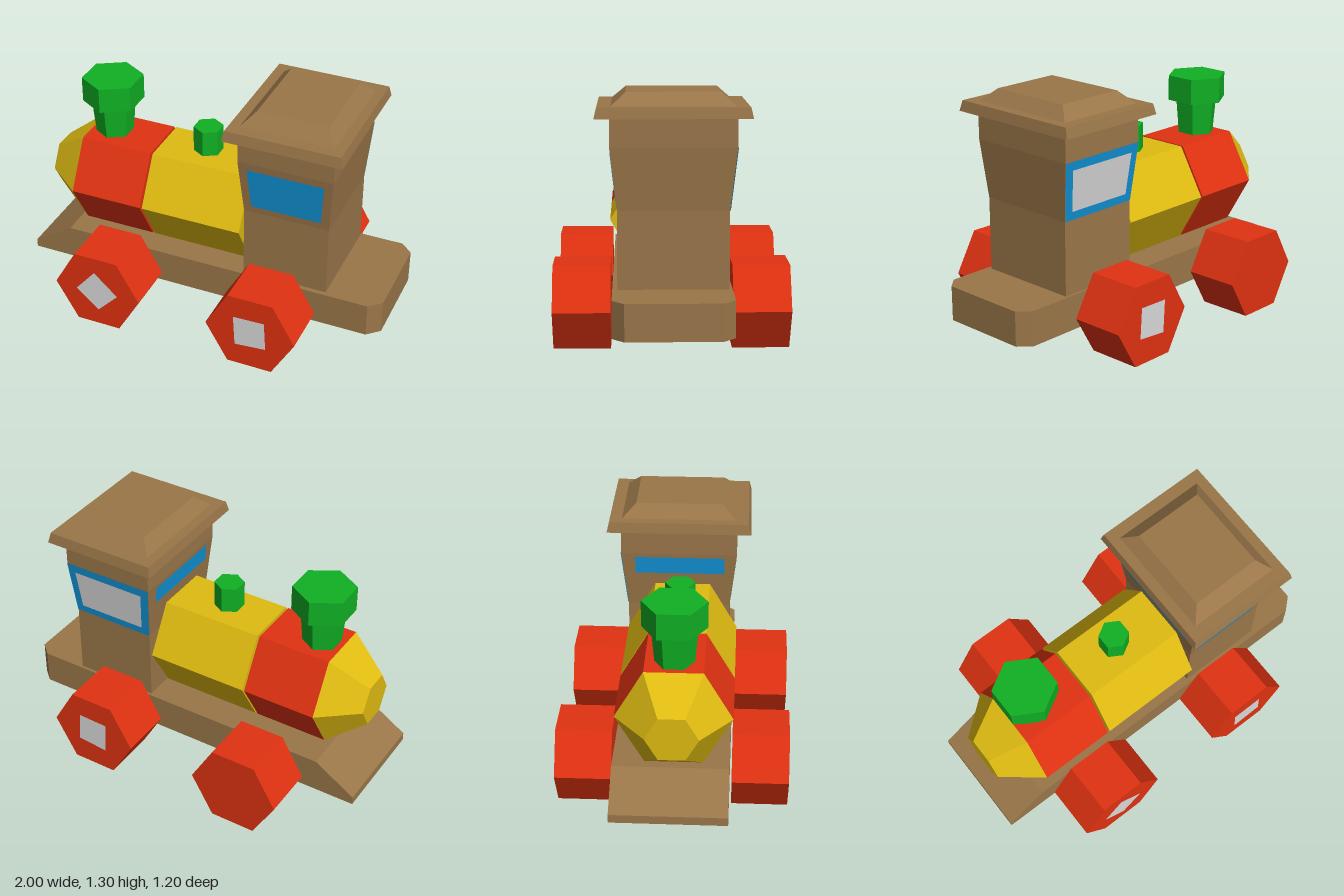
import * as THREE from 'three';

const paint = (name, color, twoSided) => {
  const m = new THREE.MeshStandardMaterial({ color, flatShading: true });
  m.name = name;
  if (twoSided) m.side = THREE.DoubleSide;
  return m;
};

// Joins four-cornered rings into a closed solid
function loft(rings) {
  const pos = [];
  const quad = (a, b, c, d) => pos.push(...a, ...b, ...c, ...a, ...c, ...d);
  for (let r = 0; r < rings.length - 1; r++) {
    for (let i = 0; i < 4; i++) {
      const j = (i + 1) % 4;
      quad(rings[r][i], rings[r][j], rings[r + 1][j], rings[r + 1][i]);
    }
  }
  quad(...[...rings[0]].reverse());
  quad(...rings[rings.length - 1]);
  return fromPositions(pos);
}

function fromPositions(pos) {
  const g = new THREE.BufferGeometry();
  g.setAttribute('position', new THREE.Float32BufferAttribute(pos, 3));
  g.computeVertexNormals();
  return g;
}

// Level ring at height y, and upright ring at position x
const ringY = (y, x0, x1, z0, z1) => [[x0, y, z0], [x0, y, z1], [x1, y, z1], [x1, y, z0]];
const ringX = (x, y0, y1, z) => [[x, y0, -z], [x, y1, -z], [x, y1, z], [x, y0, z]];

const face = (a, b, c, d) => fromPositions([...a, ...b, ...c, ...a, ...c, ...d]);

export function createModel() {
  const model = new THREE.Group();
  model.name = 'toyTrain';

  const brown = paint('brown wood', 0x9a7649);
  const red = paint('red', 0xe03211);
  const yellow = paint('yellow', 0xdfbb11);
  const green = paint('green', 0x11b024);
  const blue = paint('blue', 0x1193d6, true);
  const grey = paint('light grey', 0xd9d9d9, true);

  const add = (name, geometry, material, x = 0, y = 0, z = 0) => {
    const mesh = new THREE.Mesh(geometry, material);
    mesh.name = name;
    mesh.position.set(x, y, z);
    model.add(mesh);
  };

  // Chassis: wedge at the nose, clipped corners at the rear
  add('chassis', loft([
    ringX(-1, 0.155, 0.2, 0.295),
    ringX(-0.78, 0.155, 0.34, 0.295),
    ringX(0.935, 0.155, 0.34, 0.295),
    ringX(1, 0.155, 0.34, 0.235),
  ]), brown);

  // Hexagonal boiler sections
  const boiler = (name, x0, x1, r0, r1, material) =>
    add(name, new THREE.CylinderGeometry(r0, r1, x1 - x0, 6).rotateZ(Math.PI / 2),
      material, (x0 + x1) / 2, 0.605, 0.015);
  boiler('boilerNose', -0.94, -0.74, 0.133, 0.295, yellow);
  boiler('boilerFront', -0.74, -0.34, 0.295, 0.295, red);
  boiler('boilerRear', -0.328, 0.228, 0.295, 0.295, yellow);

  // Chimney and steam dome
  const post = (name, x, y0, y1, rTop, rBottom) =>
    add(name, new THREE.CylinderGeometry(rTop, rBottom, y1 - y0, 6), green, x, (y0 + y1) / 2, 0.015);
  post('chimneyStem', -0.622, 0.855, 1.05, 0.117, 0.1);
  post('chimneyCap', -0.622, 1.05, 1.188, 0.163, 0.163);
  post('steamDome', -0.07, 0.873, 1.015, 0.079, 0.079);

  // Cab with walls flaring outward towards the roof
  add('cab', loft([
    ringY(0.34, 0.24, 0.7, -0.28, 0.27),
    ringY(0.73, 0.24, 0.7, -0.28, 0.27),
    ringY(1.04, 0.215, 0.725, -0.315, 0.305),
    ringY(1.185, 0.215, 0.725, -0.315, 0.305),
  ]), brown);
  add('roofEave', loft([
    ringY(1.185, 0.157, 0.785, -0.385, 0.378),
    ringY(1.24, 0.168, 0.774, -0.372, 0.365),
  ]), brown);
  add('roofTop', loft([
    ringY(1.24, 0.222, 0.72, -0.308, 0.298),
    ringY(1.305, 0.285, 0.66, -0.235, 0.225),
  ]), brown);

  // Windows lie on the leaning part of the walls
  const lean = (y) => (y - 0.73) / 0.31;
  const sideWindow = (name, side, lift, y0, y1, inset, material) => {
    const p = (y, end) => [
      0.47 + end * (0.23 + 0.025 * lean(y) - inset), y,
      -0.005 + side * (0.275 + 0.035 * lean(y) + lift),
    ];
    const corners = [p(y0, -1), p(y0, 1), p(y1, 1), p(y1, -1)];
    add(name, face(...(side > 0 ? corners : corners.reverse())), material);
  };
  sideWindow('leftWindow', 1, 0.003, 0.77, 1.0, 0.045, blue);
  sideWindow('rightWindowFrame', -1, 0.003, 0.73, 1.04, 0, blue);
  sideWindow('rightWindowPane', -1, 0.006, 0.775, 0.995, 0.045, grey);

  const frontPoint = (y, z) => [0.237 - 0.025 * lean(y), y, z];
  add('frontWindow', face(
    frontPoint(0.925, -0.24), frontPoint(0.925, 0.24),
    frontPoint(1.02, 0.24), frontPoint(1.02, -0.24),
  ), blue);

  // Hexagonal wheels
  const wheelGeometry = new THREE.CylinderGeometry(0.245, 0.245, 0.29, 6)
    .rotateY(Math.PI / 6).rotateX(Math.PI / 2);
  for (const side of [1, -1]) {
    add('frontWheel', wheelGeometry, red, -0.465, 0.2125, side * 0.45);
    add('rearWheel', wheelGeometry, red, 0.41, 0.2125, side * 0.45);
  }

  // Square hub plates
  const hub = (name, side, points) => {
    const corners = points.map(([x, y]) => [x, y, side * 0.598]);
    add(name, face(...(side > 0 ? corners : corners.reverse())), grey);
  };
  const rearHub = [[0.33, 0.125], [0.5, 0.14], [0.49, 0.305], [0.32, 0.3]];
  hub('frontHub', 1, [[-0.585, 0.205], [-0.46, 0.095], [-0.345, 0.215], [-0.475, 0.335]]);
  hub('rearHub', 1, rearHub);
  hub('rearHub', -1, rearHub);

  return model;
}
